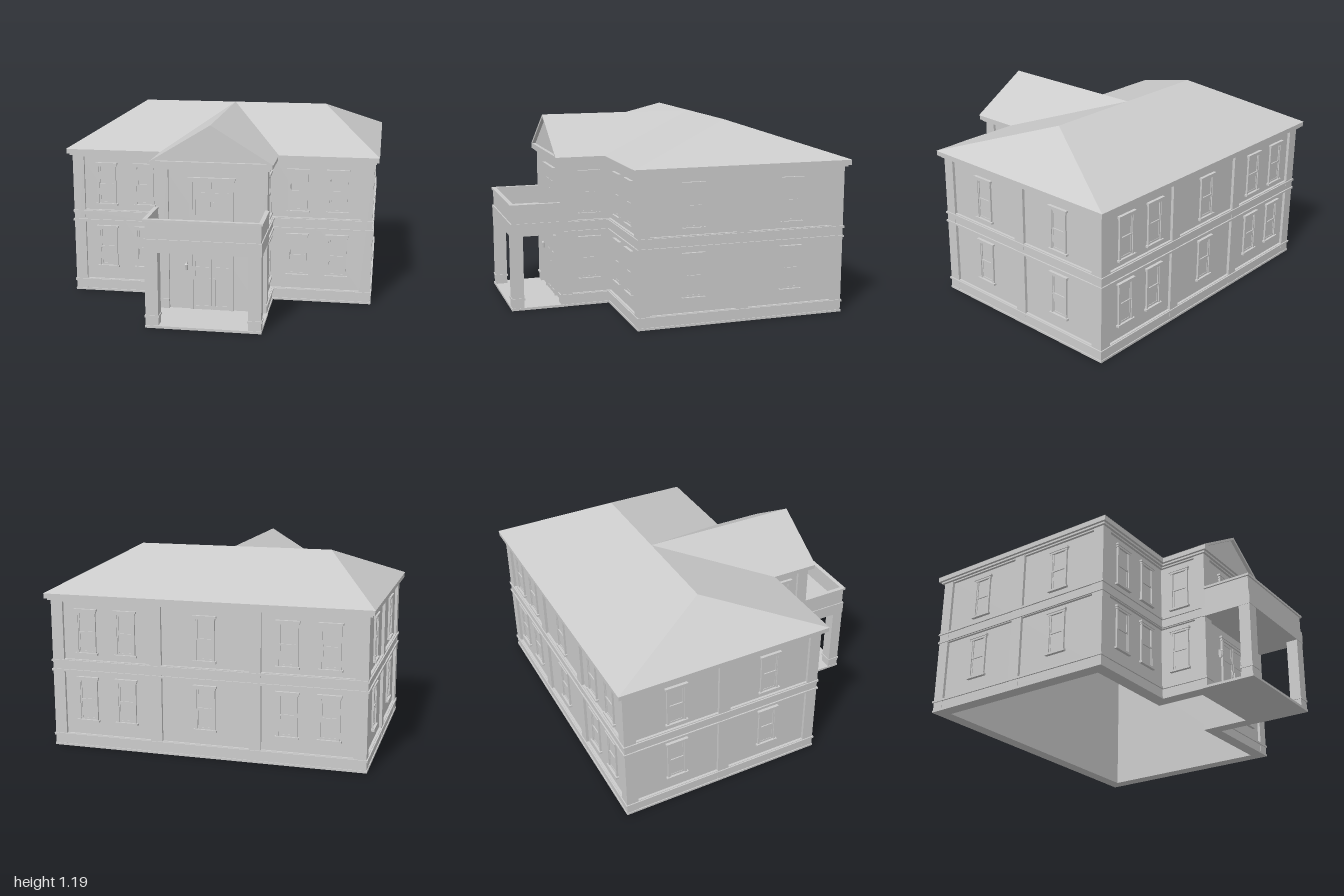
import * as THREE from 'three';

const mat = new THREE.MeshStandardMaterial({ color: 0xcccccc });
const roofMat = new THREE.MeshStandardMaterial({ color: 0xcccccc, side: THREE.DoubleSide, flatShading: true });

// Footprint: main block plus front wing
const MX = 0.967, BACK = -0.957, FRONT = 0.357, WX = 0.343, WF = 0.67;
const RECESS = 0.018, THICK = 0.08, PIL = 0.074;

function mesh(name, geometry, parent, material = mat) {
  const m = new THREE.Mesh(geometry, material);
  m.name = name;
  parent.add(m);
  return m;
}

// Box given by its minimum and maximum on each axis
function box(name, parent, x0, x1, y0, y1, z0, z1) {
  const m = mesh(name, new THREE.BoxGeometry(x1 - x0, y1 - y0, z1 - z0), parent);
  m.position.set((x0 + x1) / 2, (y0 + y1) / 2, (z0 + z1) / 2);
  return m;
}

// Outline grown by d, counter-clockwise; the notch leaves the entrance bay free
function outline(d, notch) {
  const p = [[-MX - d, BACK - d], [MX + d, BACK - d], [MX + d, FRONT + d], [WX + d, FRONT + d], [WX + d, WF + d]];
  if (notch) p.push([0.27, WF + d], [0.27, WF - RECESS], [-0.27, WF - RECESS], [-0.27, WF + d]);
  p.push([-WX - d, WF + d], [-WX - d, FRONT + d], [-MX - d, FRONT + d]);
  return p.map(([x, z]) => new THREE.Vector2(x, -z)).reverse();
}

// Horizontal band that follows the whole footprint
function ring(name, parent, y0, y1, dOut, dIn = -0.03, notch = false) {
  const shape = new THREE.Shape(outline(dOut, notch));
  shape.holes.push(new THREE.Path(outline(dIn, false).reverse()));
  const g = new THREE.ExtrudeGeometry(shape, { depth: y1 - y0, bevelEnabled: false });
  g.rotateX(-Math.PI / 2).translate(0, y0, 0);
  return mesh(name, g, parent);
}

// Sash window, built facing +z with its foot at the origin
function makeWindow() {
  const g = new THREE.Group(), w = 0.062, h = 0.28;
  g.name = 'window';
  box('glass', g, -w, w, 0.01, h, -0.01, 0.002);
  for (const s of [-1, 1]) {
    const x = s * (w - 0.006);
    box('jamb', g, x - 0.006, x + 0.006, 0.01, h, -0.01, 0.012);
  }
  box('sill', g, -0.072, 0.072, 0, 0.013, -0.01, 0.02);
  box('lintel', g, -0.066, 0.066, h - 0.022, h - 0.01, -0.01, 0.014);
  box('lintelCap', g, -0.072, 0.072, h - 0.01, h + 0.002, -0.01, 0.019);
  // Upper sash stands in front of the lower one
  box('meetingRail', g, -w, w, 0.134, 0.144, -0.01, 0.009);
  for (const s of [-1, 1]) {
    const x = s * (w - 0.016);
    box('sashStile', g, x - 0.005, x + 0.005, 0.139, h - 0.02, -0.01, 0.008);
    box('sashStile', g, x - 0.005, x + 0.005, 0.013, 0.139, -0.01, 0.005);
  }
  box('bottomRail', g, -w, w, 0.013, 0.024, -0.01, 0.005);
  return g;
}

// Double door, built facing +z with its foot at the origin
function makeDoor(h) {
  const g = new THREE.Group();
  g.name = 'doubleDoor';
  for (const s of [-1, 1]) {
    box('jamb', g, s * 0.128 - 0.008, s * 0.128 + 0.008, 0, h, -0.01, 0.014);
    const cx = s * 0.061;
    box('leaf', g, cx - 0.058, cx + 0.058, 0, h - 0.02, -0.01, 0.003);
    for (const e of [-1, 1]) box('stile', g, cx + e * 0.05 - 0.008, cx + e * 0.05 + 0.008, 0, h - 0.02, -0.01, 0.007);
    for (const y of [0.012, h * 0.66, h - 0.03]) box('rail', g, cx - 0.058, cx + 0.058, y - 0.012, y + 0.012, -0.01, 0.007);
    box('handle', g, s * 0.012 - 0.003, s * 0.012 + 0.003, h * 0.42, h * 0.52, 0.005, 0.014);
  }
  box('lintel', g, -0.14, 0.14, h - 0.024, h - 0.01, -0.01, 0.015);
  box('lintelCap', g, -0.148, 0.148, h - 0.01, h + 0.003, -0.01, 0.02);
  return g;
}

function makeRoof(parent) {
  const e = 0.955, r = 1.186, rz = -0.3, rx = 0.62;
  const X = 1, B = -0.99, F = 0.39, W = 0.378, G = 0.701;
  const v = [];
  const face = (...p) => { for (let i = 1; i < p.length - 1; i++) v.push(...p[0], ...p[i], ...p[i + 1]); };
  face([X, e, B], [-X, e, B], [-rx, r, rz], [rx, r, rz]);
  // Mirrored slopes: hip end, front slope and wing slope
  for (const s of [1, -1]) {
    const f = (...p) => face(...(s > 0 ? p : p.reverse()));
    f([s * X, e, F], [s * X, e, B], [s * rx, r, rz]);
    f([s * W, e, F], [s * X, e, F], [s * rx, r, rz], [0, r, rz]);
    f([s * W, e, G], [s * W, e, F], [0, r, rz], [0, r, G]);
  }
  const g = new THREE.BufferGeometry();
  g.setAttribute('position', new THREE.Float32BufferAttribute(v, 3));
  g.computeVertexNormals();
  mesh('roof', g, parent, roofMat);

  // Gable: slim raking frame around a set-back tympanum
  const tri = (w, y0, y1) => [new THREE.Vector2(-w, y0), new THREE.Vector2(w, y0), new THREE.Vector2(0, y1)];
  const frame = new THREE.Shape(tri(W, e, r));
  frame.holes.push(new THREE.Path(tri(0.343, e + 0.004, r - 0.017).reverse()));
  const fg = new THREE.ExtrudeGeometry(frame, { depth: 0.03, bevelEnabled: false });
  mesh('gableFrame', fg, parent).position.z = G - 0.031;
  const tg = new THREE.ShapeGeometry(new THREE.Shape(tri(W - 0.01, e, r - 0.005)));
  mesh('tympanum', tg, parent, roofMat).position.z = 0.678;
}

export function createModel() {
  const model = new THREE.Group();
  model.name = 'house';

  // Hollow walls and the bands that run round them
  ring('walls', model, 0, 0.955, -RECESS, -THICK);
  ring('footing', model, 0, 0.013, 0.004, -0.03, true);
  ring('plinth', model, 0, 0.08, -0.002, -0.03, true);
  ring('plinthMoulding', model, 0.064, 0.077, 0.007, -0.03, true);
  ring('belt', model, 0.47, 0.55, -0.002);
  ring('beltMoulding', model, 0.474, 0.486, 0.007);
  ring('beltMoulding', model, 0.532, 0.545, 0.007);
  ring('frieze', model, 0.903, 0.93, -0.002);
  ring('corniceLower', model, 0.912, 0.926, 0.015);
  ring('cornice', model, 0.924, 0.955, 0.03);

  // Pilasters at the corners and between the bays
  const pilaster = (x0, x1, z0, z1) => box('pilaster', model, x0, x1, 0, 0.93, z0, z1);
  for (const s of [-1, 1]) {
    const p = (xa, xb, z0, z1) => pilaster(Math.min(s * xa, s * xb), Math.max(s * xa, s * xb), z0, z1);
    p(MX - PIL, MX, BACK, BACK + PIL);
    p(MX - PIL, MX, FRONT - PIL, FRONT);
    p(WX - PIL, WX, WF - PIL, WF);
    p(MX - PIL, MX, -0.338, -0.262);
    p(0.268, 0.342, BACK, BACK + PIL);
  }

  // Windows on both storeys
  const put = (x, z, angle) => {
    for (const y of [0.162, 0.582]) {
      const w = makeWindow();
      w.position.set(x, y, z);
      w.rotation.y = angle;
      model.add(w);
    }
  };
  for (const s of [-1, 1]) {
    for (const x of [0.497, 0.747]) {
      put(s * x, FRONT - RECESS, 0);
      put(s * x, BACK + RECESS, Math.PI);
    }
    for (const z of [0.012, -0.615]) put(s * (MX - RECESS), z, s * Math.PI / 2);
    put(s * (WX - RECESS), 0.48, s * Math.PI / 2);
  }
  put(0, BACK + RECESS, Math.PI);

  // Entrance and balcony doors
  for (const [y, h] of [[0.015, 0.4], [0.55, 0.305]]) {
    const d = makeDoor(h);
    d.position.set(0, y, WF - RECESS);
    model.add(d);
  }
  box('balconyStep', model, -0.15, 0.15, 0.55, 0.575, 0.64, 0.705);

  // Wall lantern beside the entrance
  const lantern = mesh('lantern', new THREE.CylinderGeometry(0.01, 0.006, 0.035, 6), model);
  lantern.position.set(-0.158, 0.29, 0.675);
  const cap = mesh('lanternCap', new THREE.ConeGeometry(0.012, 0.015, 6), model);
  cap.position.set(-0.158, 0.315, 0.675);
  box('lanternBracket', model, -0.162, -0.154, 0.265, 0.32, 0.645, 0.668);

  // Porch with balcony
  const porch = new THREE.Group();
  porch.name = 'porch';
  model.add(porch);
  box('porchFloor', porch, -0.35, 0.35, 0, 0.015, 0.65, 0.985);
  box('balconySlab', porch, -0.35, 0.35, 0.47, 0.55, 0.65, 0.983);
  for (const s of [-1, 1]) {
    const x = s * 0.309;
    box('column', porch, x - 0.039, x + 0.039, 0, 0.48, 0.907, 0.98);
    box('columnMoulding', porch, x - 0.044, x + 0.044, 0.064, 0.077, 0.902, 0.985);
    box('sideParapet', porch, s * 0.338 - 0.006, s * 0.338 + 0.006, 0.55, 0.66, 0.67, 0.975);
    box('sideRail', porch, s * 0.342 - 0.013, s * 0.342 + 0.013, 0.656, 0.67, 0.67, 0.985);
  }
  box('frontParapet', porch, -0.344, 0.344, 0.55, 0.66, 0.962, 0.975);
  box('frontRail', porch, -0.355, 0.355, 0.656, 0.67, 0.957, 0.985);

  makeRoof(model);
  return model;
}
